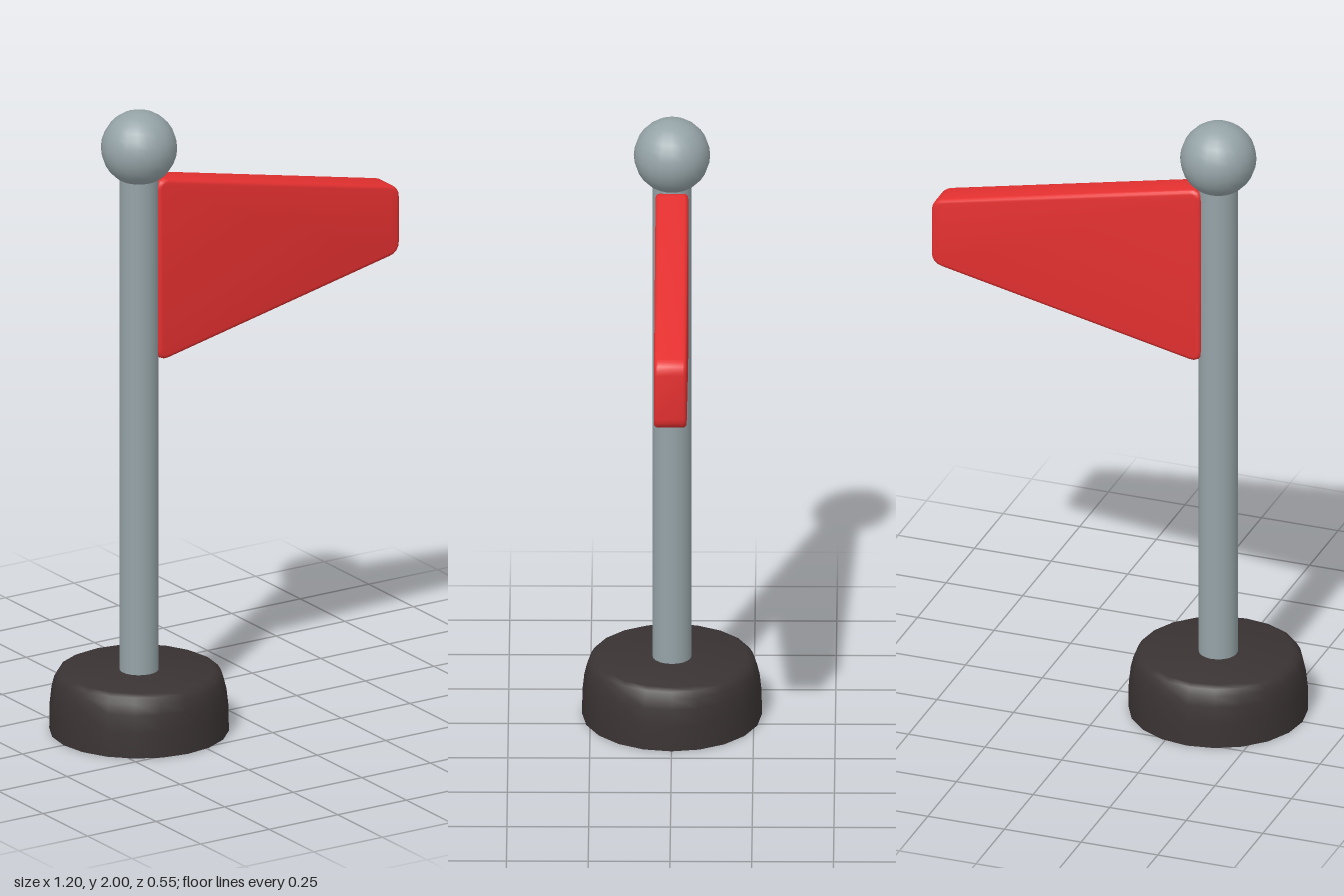
import * as THREE from 'three';
import { toCreasedNormals } from 'three/addons/utils/BufferGeometryUtils.js';

const POLE_X = -0.325;

function part(name, geometry, color, x = 0, y = 0) {
  const mesh = new THREE.Mesh(geometry, new THREE.MeshStandardMaterial({ color }));
  mesh.name = name;
  mesh.position.set(x, y, 0);
  return mesh;
}

// Closed outline with each corner rounded by a quadratic curve
function roundedOutline(corners, r) {
  const pts = corners.map(([x, y]) => new THREE.Vector2(x, y));
  const shape = new THREE.Shape();
  pts.forEach((p, i) => {
    const prev = pts[(i + pts.length - 1) % pts.length];
    const next = pts[(i + 1) % pts.length];
    const a = p.clone().add(prev.clone().sub(p).setLength(r));
    const b = p.clone().add(next.clone().sub(p).setLength(r));
    if (i === 0) shape.moveTo(a.x, a.y);
    else shape.lineTo(a.x, a.y);
    shape.quadraticCurveTo(p.x, p.y, b.x, b.y);
  });
  shape.closePath();
  return shape;
}

export function createModel() {
  const model = new THREE.Group();
  model.name = 'flagOnStand';

  // Heavy round base with a softened upper rim
  const profile = [
    [0, 0], [0.275, 0], [0.274, 0.08], [0.268, 0.135], [0.26, 0.168],
    [0.249, 0.187], [0.232, 0.195], [0, 0.195],
  ].map(([r, y]) => new THREE.Vector2(r, y));
  const base = toCreasedNormals(new THREE.LatheGeometry(profile, 20), 0.8);
  model.add(part('base', base, 0x3a3333, POLE_X));

  // Pole and ball finial
  const pole = new THREE.CylinderGeometry(0.06, 0.06, 1.62, 20);
  model.add(part('pole', pole, 0x95a3a7, POLE_X, 0.98));
  model.add(part('finial', new THREE.SphereGeometry(0.117, 20, 14), 0x95a3a7, POLE_X, 1.883));

  // Thick tapering flag with bevelled edges
  const bevel = 0.012;
  const halfDepth = 0.05;
  const outline = roundedOutline(
    [[-0.273, 1.207], [0.583, 1.393], [0.583, 1.588], [-0.273, 1.773]], 0.025);
  const flag = new THREE.ExtrudeGeometry(outline, {
    depth: 2 * (halfDepth - bevel), bevelThickness: bevel, bevelSize: bevel,
    bevelSegments: 3, curveSegments: 4,
  });
  flag.translate(0, 0, bevel - halfDepth);
  model.add(part('flag', toCreasedNormals(flag, 0.7), 0xe53030));

  return model;
}
